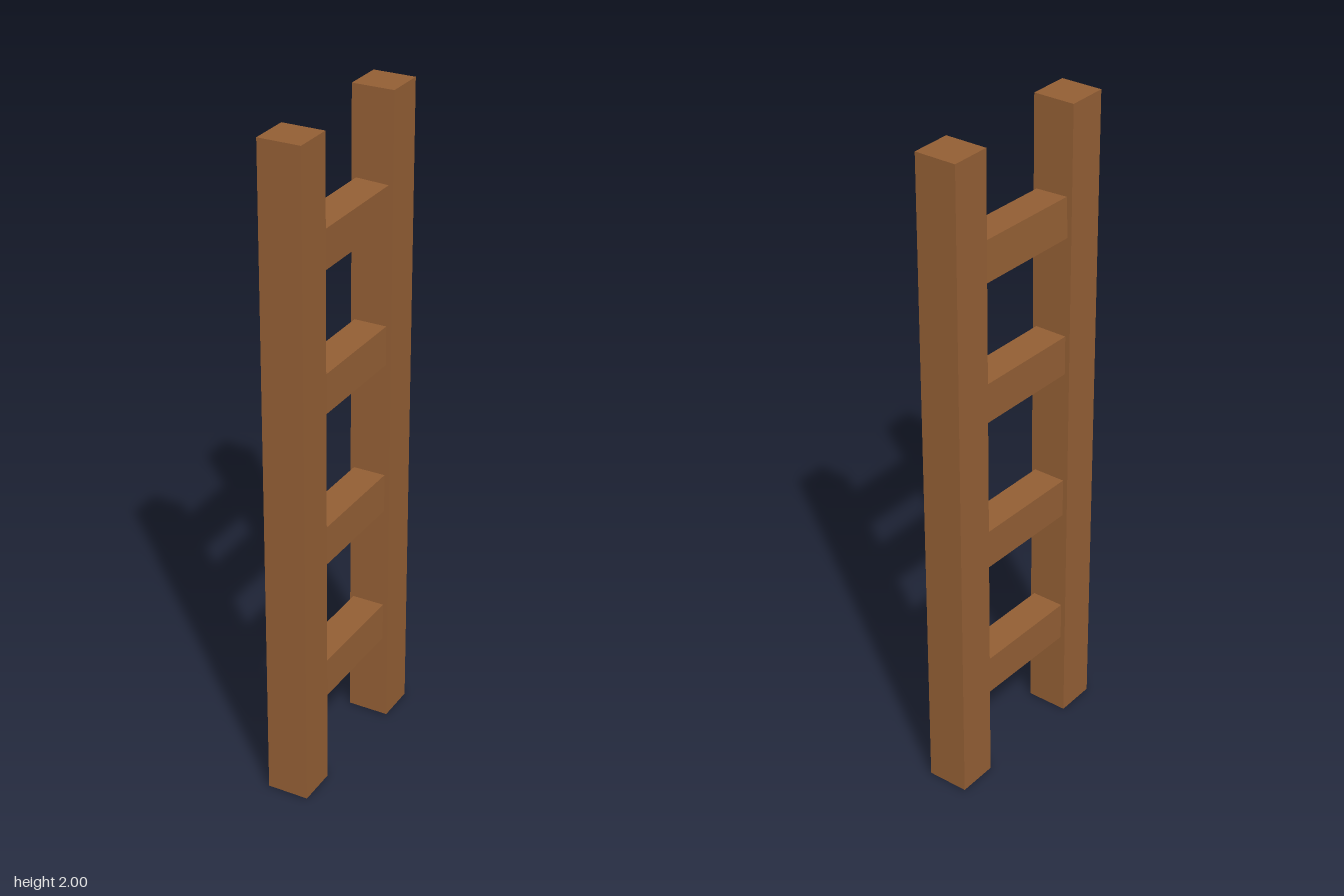
import * as THREE from 'three';

export function createModel() {
  const group = new THREE.Group();
  const wood = new THREE.MeshStandardMaterial({ color: 0x925e34 });
  wood.name = 'brown wood';

  const addBeam = (name, size, position, rotation = [0, 0, 0]) => {
    const beam = new THREE.Mesh(new THREE.BoxGeometry(...size), wood);
    beam.name = name;
    beam.position.set(...position);
    beam.rotation.set(...rotation);
    group.add(beam);
  };

  // Upright rails, slightly offset sideways from each other
  addBeam('frontRail', [0.127, 2, 0.124], [-0.0055, 1, 0.239]);
  addBeam('backRail', [0.127, 2, 0.124], [0.0045, 1, -0.24]);

  // Rungs, each a little crooked: height and roll
  const rungs = [[0.333, 0], [0.777, 0], [1.251, 0], [1.672, -0.04]];
  rungs.forEach(([y, roll], i) => {
    addBeam(`rung${i + 1}`, [0.1, 0.12, 0.42], [-0.001, y, 0], [0.011, -0.018, roll]);
  });

  return group;
}
